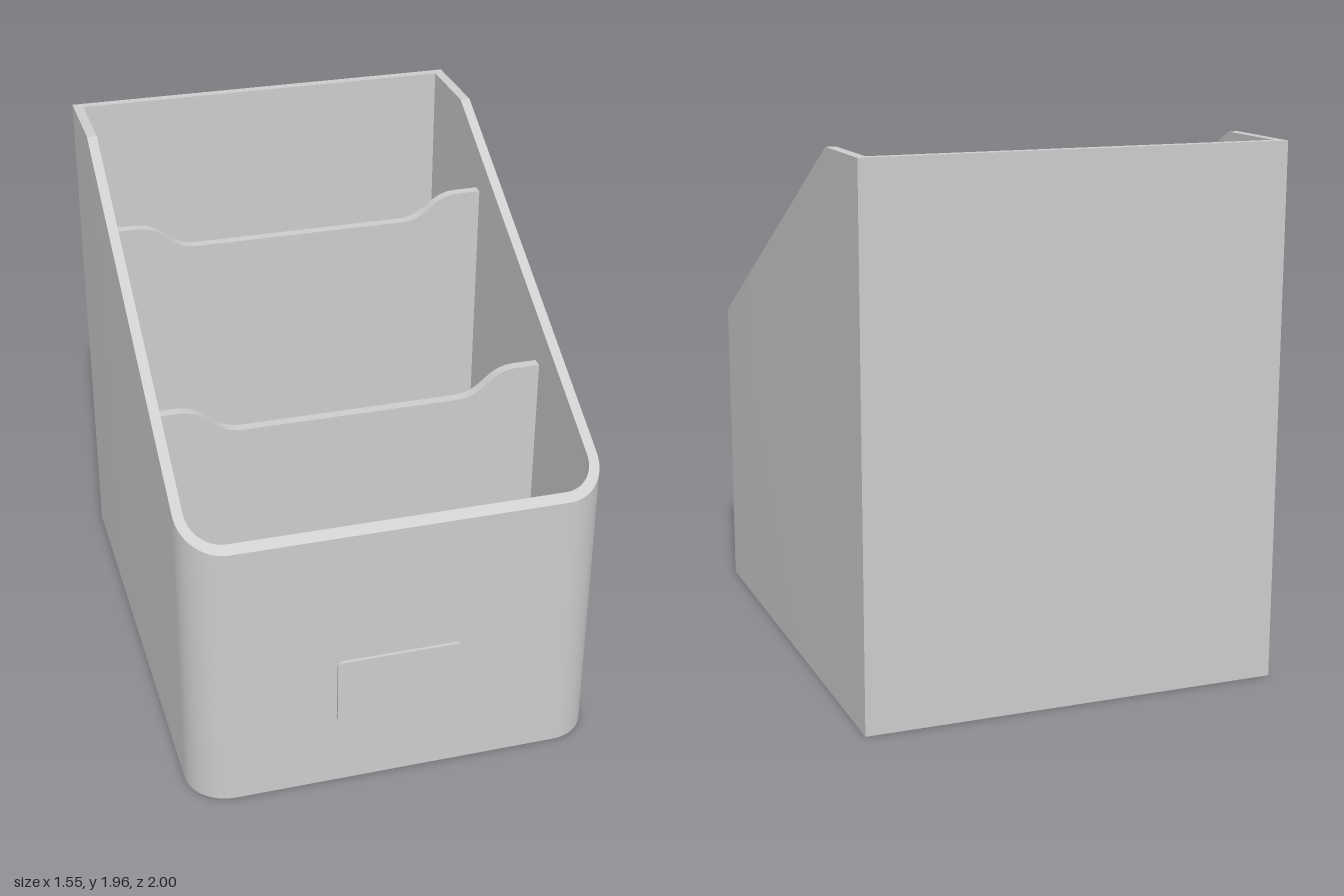
import * as THREE from 'three';
import { toCreasedNormals } from 'three/addons/utils/BufferGeometryUtils.js';

const material = new THREE.MeshStandardMaterial({ color: 0xcccccc });
const BACK = -1, FRONT = 0.987, HALF = 0.775, WALL = 0.038, RADIUS = 0.16;
const FLAT_Z = -0.64, HIGH = 1.96, LOW = 1.065;

function addMesh(group, name, geometry) {
  const mesh = new THREE.Mesh(toCreasedNormals(geometry, 0.4), material);
  mesh.name = name;
  group.add(mesh);
  return mesh;
}

// Footprint in (x, z): square at the back, rounded at the front
function footprint(inset) {
  const w = HALF - inset, r = RADIUS - inset, f = FRONT - inset, steps = 14;
  const points = [[w, BACK + inset], [w, FLAT_Z]];
  for (const side of [0, 1]) {
    for (let i = 0; i <= steps; i++) {
      const a = (side + i / steps) * Math.PI / 2;
      points.push([(side ? -1 : 1) * (w - r) + r * Math.cos(a), f - r + r * Math.sin(a)]);
    }
  }
  points.push([-w, FLAT_Z], [-w, BACK + inset]);
  return points;
}

// Rim height: level at the back, then sloping down to the front
const rimHeight = z => Math.min(HIGH, LOW + (HIGH - LOW) * (FRONT - z) / (FRONT - FLAT_Z));

// Wall of even thickness, closed round outer base, outer rim, inner rim, inner base
function wallGeometry() {
  const outer = footprint(0), inner = footprint(WALL), n = outer.length;
  const positions = [], index = [];
  const ring = (loop, height) => loop.forEach(([x, z]) => positions.push(x, height(z), z));
  ring(outer, () => 0);
  ring(outer, rimHeight);
  ring(inner, rimHeight);
  ring(inner, () => 0);
  for (let k = 0; k < 4; k++) {
    for (let i = 0; i < n; i++) {
      const j = (i + 1) % n, m = (k + 1) % 4;
      const a = k * n + i, b = m * n + i, c = m * n + j, d = k * n + j;
      index.push(a, b, c, a, c, d);
    }
  }
  const geometry = new THREE.BufferGeometry();
  geometry.setAttribute('position', new THREE.Float32BufferAttribute(positions, 3));
  geometry.setIndex(index);
  return geometry;
}

// Divider with a scooped top edge
function dividerGeometry(top, dip) {
  const w = HALF - WALL, base = 0.03, a = 0.65, b = 0.41, m = (a + b) / 2;
  const s = new THREE.Shape();
  s.moveTo(-w, base);
  s.lineTo(w, base);
  s.lineTo(w, top);
  s.lineTo(a, top);
  s.bezierCurveTo(m, top, m, dip, b, dip);
  s.lineTo(-b, dip);
  s.bezierCurveTo(-m, dip, -m, top, -a, top);
  s.lineTo(-w, top);
  s.closePath();
  return new THREE.ExtrudeGeometry(s, { depth: 0.04, bevelEnabled: false, curveSegments: 18 });
}

function roundedRect(w, h, r) {
  const s = new THREE.Shape();
  s.absarc(w / 2 - r, h / 2 - r, r, 0, Math.PI / 2);
  s.absarc(-w / 2 + r, h / 2 - r, r, Math.PI / 2, Math.PI);
  s.absarc(-w / 2 + r, -h / 2 + r, r, Math.PI, Math.PI * 1.5);
  s.absarc(w / 2 - r, -h / 2 + r, r, Math.PI * 1.5, Math.PI * 2);
  return s;
}

export function createModel() {
  const group = new THREE.Group();
  group.name = 'deskOrganizer';

  addMesh(group, 'outerWall', wallGeometry());

  // Floor, set slightly above the lower edge of the wall
  const floorShape = new THREE.Shape(footprint(WALL).map(([x, z]) => new THREE.Vector2(x, z)));
  const floor = new THREE.ExtrudeGeometry(floorShape, { depth: 0.035, bevelEnabled: false });
  floor.rotateX(Math.PI / 2);
  addMesh(group, 'floor', floor).position.y = 0.045;

  addMesh(group, 'backDivider', dividerGeometry(1.67, 1.573)).position.z = -0.42;
  addMesh(group, 'frontDivider', dividerGeometry(1.26, 1.157)).position.z = 0.3;

  // Thin raised label plate on the front
  const plate = new THREE.ExtrudeGeometry(roundedRect(0.472, 0.275, 0.022),
    { depth: 0.023, bevelEnabled: false, curveSegments: 6 });
  addMesh(group, 'labelPlate', plate).position.set(0, 0.402, 0.977);

  return group;
}
